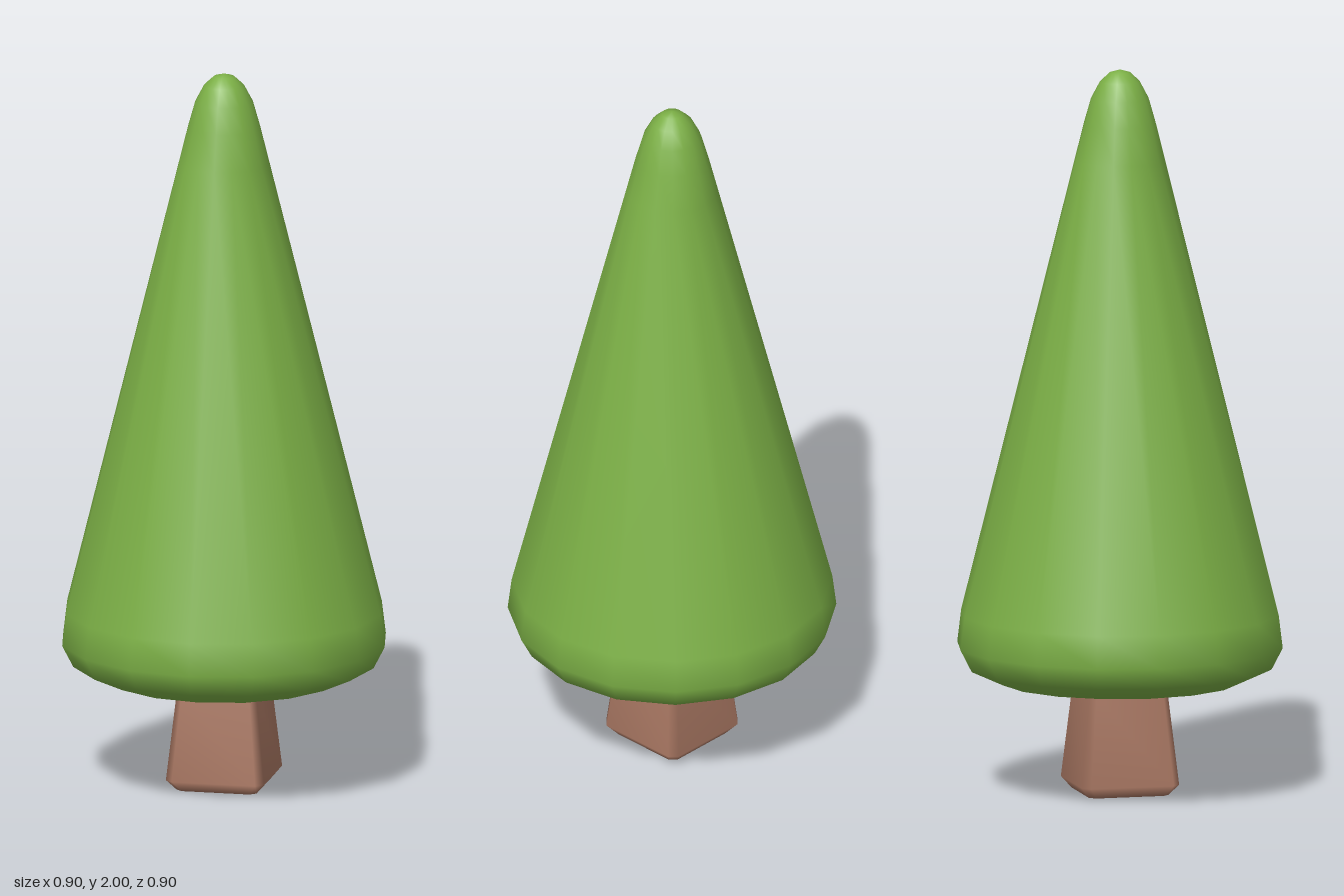
import * as THREE from 'three';
import { mergeVertices } from 'three/addons/utils/BufferGeometryUtils.js';

const leafGreen = new THREE.MeshStandardMaterial({ color: 0x7cb046 });
leafGreen.name = 'leaf green';
const barkBrown = new THREE.MeshStandardMaterial({ color: 0xaa7863 });
barkBrown.name = 'bark brown';

// Weld the seam and poles so shading is smooth everywhere
function smooth(geometry) {
  geometry.deleteAttribute('uv');
  geometry.deleteAttribute('normal');
  const welded = mergeVertices(geometry, 1e-4);
  welded.computeVertexNormals();
  return welded;
}

function lathe(profile, segments, phiStart = 0) {
  const points = profile.map(([r, y]) => new THREE.Vector2(r, y));
  return new THREE.LatheGeometry(points, segments, phiStart);
}

export function createModel() {
  const tree = new THREE.Group();
  tree.name = 'coniferTree';

  // Foliage: cone with a rounded tip and a softly bulging underside
  const foliage = new THREE.Mesh(smooth(lathe([
    [0, 0.285], [0.18, 0.288], [0.33, 0.31], [0.418, 0.35], [0.449, 0.41],
    [0.438, 0.5], [0.125, 1.75], [0.1, 1.85], [0.08, 1.92],
    [0.055, 1.967], [0.028, 1.992], [0, 2],
  ], 16)), leafGreen);
  foliage.name = 'foliage';

  // Trunk: eight-sided lathe pushed out to a tapered square with bevelled corners
  const trunkShape = lathe([
    [0, 0], [0.112, 0.005], [0.137, 0.035], [0.11, 0.29], [0.107, 0.33], [0, 0.33],
  ], 8, Math.PI / 8);
  const p = trunkShape.attributes.position;
  for (let i = 0; i < p.count; i++) {
    const x = p.getX(i), z = p.getZ(i), half = Math.hypot(x, z);
    const wide = Math.abs(x) > Math.abs(z);
    p.setX(i, Math.sign(x) * half * (wide ? 1 : 0.85));
    p.setZ(i, Math.sign(z) * half * (wide ? 0.85 : 1));
  }
  const trunk = new THREE.Mesh(smooth(trunkShape), barkBrown);
  trunk.name = 'trunk';

  tree.add(foliage, trunk);
  return tree;
}
